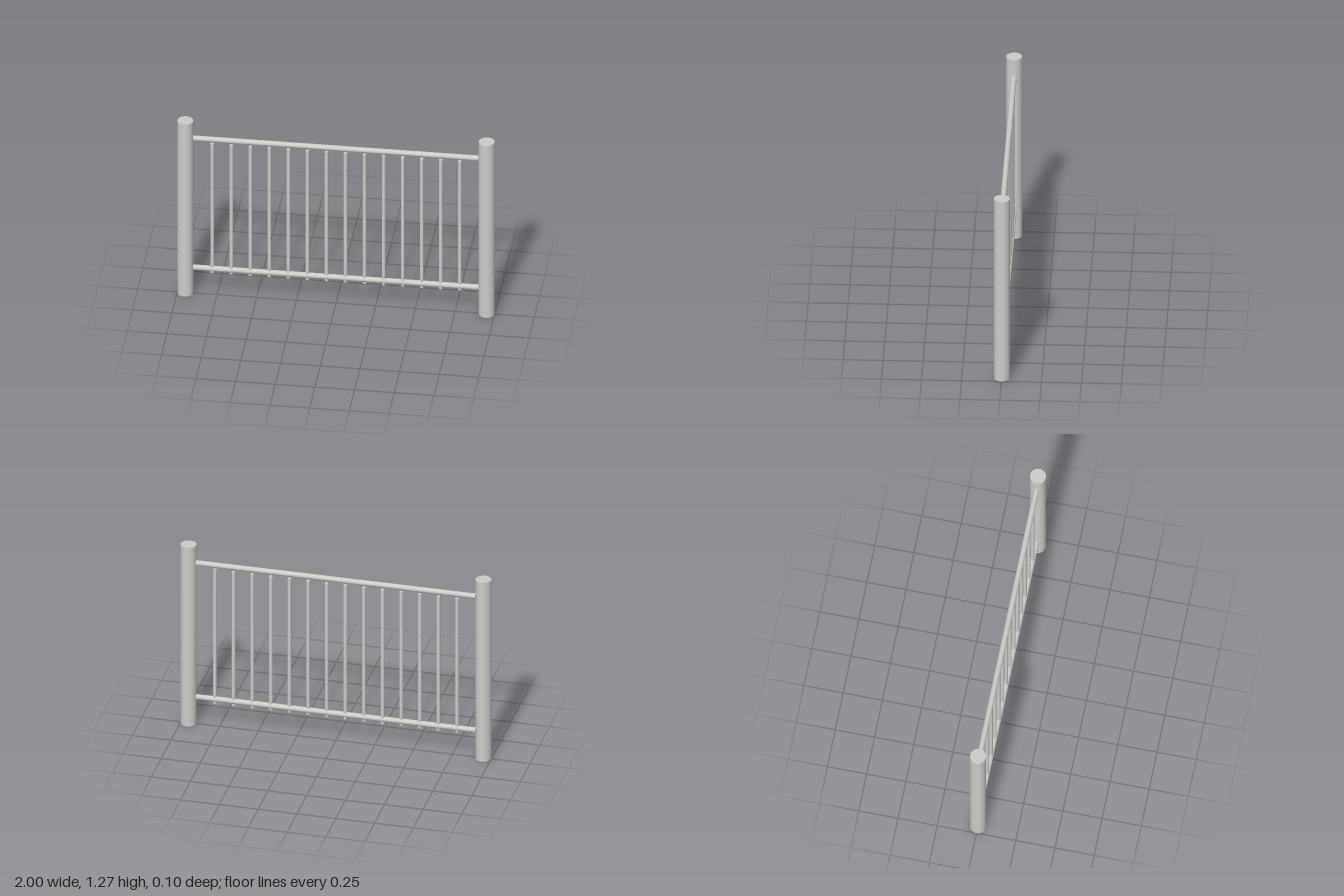
import * as THREE from 'three';

export function createModel() {
  const group = new THREE.Group();
  const material = new THREE.MeshStandardMaterial({ color: 0xcccccc });

  // Upright round bar centred at (x, y)
  const bar = (name, radius, length, x, y, horizontal = false) => {
    const mesh = new THREE.Mesh(new THREE.CylinderGeometry(radius, radius, length, 32), material);
    mesh.name = name;
    mesh.position.set(x, y, 0);
    if (horizontal) mesh.rotation.z = Math.PI / 2;
    group.add(mesh);
  };

  // End posts
  const postHeight = 1.267;
  bar('leftPost', 0.05, postHeight, 0.95, postHeight / 2);
  bar('rightPost', 0.05, postHeight, -0.95, postHeight / 2);

  // Rails spanning between the inner faces of the posts
  bar('topRail', 0.0175, 1.8, 0, 1.141, true);
  bar('bottomRail', 0.0175, 1.8, 0, 0.191, true);

  // Balusters: pass through the bottom rail and stop just short of the top one
  const count = 14, spacing = 0.12, bottom = 0.162, top = 1.11;
  for (let i = 0; i < count; i++) {
    bar(`baluster${i + 1}`, 0.0115, top - bottom, (i - (count - 1) / 2) * spacing, (top + bottom) / 2);
  }

  return group;
}
